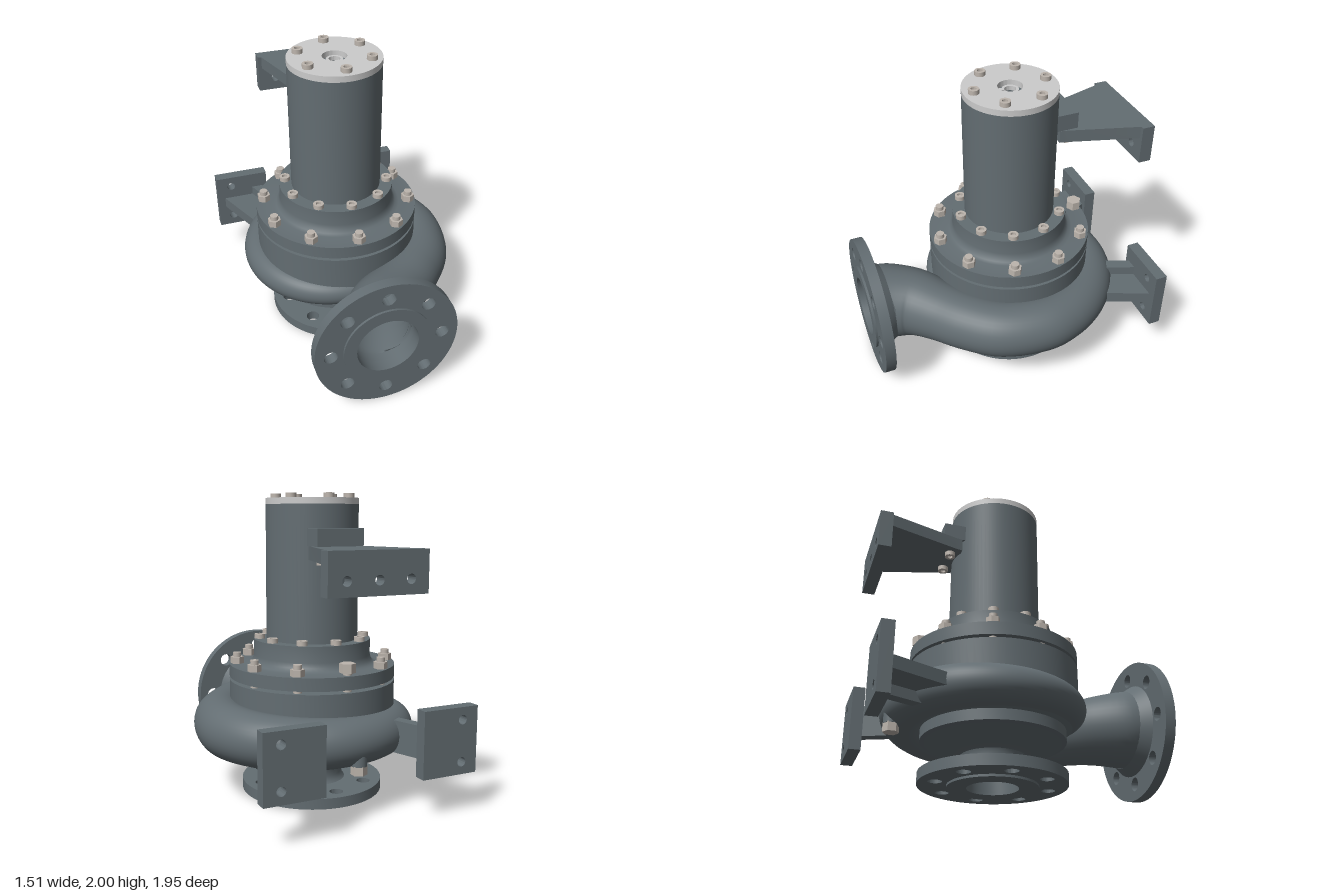
import * as THREE from 'three';
import { toCreasedNormals } from 'three/addons/utils/BufferGeometryUtils.js';
import { ParametricGeometry } from 'three/addons/geometries/ParametricGeometry.js';

const iron = new THREE.MeshStandardMaterial({ color: 0x636d72 });
const ironThin = new THREE.MeshStandardMaterial({ color: 0x636d72, side: THREE.DoubleSide });
const steel = new THREE.MeshStandardMaterial({ color: 0xcccccc });
const zinc = new THREE.MeshStandardMaterial({ color: 0xbdb5ad });
const PORT_Y = 0.48;

function add(parent, name, geometry, material = iron, x = 0, y = 0, z = 0) {
  const mesh = new THREE.Mesh(geometry, material);
  mesh.name = name;
  mesh.position.set(x, y, z);
  parent.add(mesh);
  return mesh;
}

// Turned part; closed profiles run up the outside and down the inside
function turned(profile, segments = 72) {
  const pts = profile.map(([r, y]) => new THREE.Vector2(r, y));
  return toCreasedNormals(new THREE.LatheGeometry(pts, segments), 0.6);
}

function extrude(shape, depth) {
  const geo = new THREE.ExtrudeGeometry(shape, { depth, bevelEnabled: false, curveSegments: 36 });
  return toCreasedNormals(geo, 0.6);
}

function drill(shape, x, y, r) {
  shape.holes.push(new THREE.Path().absarc(x, y, r, 0, Math.PI * 2, true));
}

// Flat plate drawn in x and z, between two heights
function slab(points, y0, y1) {
  const shape = new THREE.Shape(points.map(([x, z]) => new THREE.Vector2(x, -z)));
  return extrude(shape, y1 - y0).rotateX(-Math.PI / 2).translate(0, y0, 0);
}

// Upright rectangular plate with holes, thickness along z
function drilledPlate(x0, x1, y0, y1, depth, holes) {
  const shape = new THREE.Shape([[x0, y0], [x1, y0], [x1, y1], [x0, y1]].map(p => new THREE.Vector2(...p)));
  holes.forEach(([x, y]) => drill(shape, x, y, 0.03));
  return extrude(shape, depth);
}

// Pipe flange with eight holes and a raised face, facing local +z
function pipeFlange(name, bore) {
  const group = new THREE.Group();
  group.name = name;
  const disc = new THREE.Shape().absarc(0, 0, 0.475, 0, Math.PI * 2);
  drill(disc, 0, 0, bore);
  for (let i = 0; i < 8; i++) drill(disc, 0.37 * Math.cos(i * Math.PI / 4), 0.37 * Math.sin(i * Math.PI / 4), 0.045);
  add(group, 'flangePlate', extrude(disc, 0.07));
  const face = new THREE.Shape().absarc(0, 0, 0.29, 0, Math.PI * 2);
  drill(face, 0, 0, bore);
  add(group, 'raisedFace', extrude(face, 0.015), iron, 0, 0, 0.07);
  return group;
}

// Centre line of the spiral and outlet; the y value carries the pipe radius
function volutePath() {
  const pts = [];
  for (let deg = -20; deg <= 270; deg += 14.5) {
    const t = THREE.MathUtils.degToRad(deg), k = deg / 270;
    const r = 0.085 + 0.1 * k, R = 0.58 + 0.215 * k - r;
    pts.push(new THREE.Vector3(-R * Math.sin(t), r, R * Math.cos(t)));
  }
  [[0.55, 0.19, 0.27], [0.4, 0.195, 0.46], [0.24, 0.205, 0.6], [0.08, 0.235, 0.75],
    [0, 0.262, 0.92], [0, 0.265, 0.95]].forEach(p => pts.push(new THREE.Vector3(...p)));
  return new THREE.CatmullRomCurve3(pts);
}

function voluteGeometry(path, scale) {
  const sweep = (u, v, out) => {
    const c = path.getPoint(u), t = path.getTangent(u).setY(0).normalize();
    const a = v * Math.PI * 2, r = c.y * scale;
    out.set(c.x - t.z * r * Math.cos(a), PORT_Y + r * Math.sin(a), c.z + t.x * r * Math.cos(a));
  };
  return new ParametricGeometry(sweep, 140, 40);
}

// Repeat a part around the pump axis, starting at the front
function ring(count, radius, place) {
  for (let i = 0; i < count; i++) {
    const a = i * 2 * Math.PI / count;
    place(radius * Math.sin(a), radius * Math.cos(a), i);
  }
}

export function createModel() {
  const model = new THREE.Group();
  model.name = 'pump';
  const pump = new THREE.Group();
  pump.name = 'pumpAssembly';
  pump.position.set(-0.04, 0, -0.1);
  model.add(pump);

  // Casing, spiral and outlet
  add(pump, 'casing', turned([[0.165, 0.08], [0.23, 0.08], [0.212, 0.1], [0.205, 0.13], [0.205, 0.18], [0.212, 0.2],
    [0.23, 0.212], [0.47, 0.29], [0.47, 0.36], [0.555, 0.42], [0.555, 0.78], [0.037, 0.78], [0.037, 0.72],
    [0.165, 0.6], [0.165, 0.08]]));
  const path = volutePath();
  add(pump, 'volute', voluteGeometry(path, 1), ironThin);
  add(pump, 'voluteBore', voluteGeometry(path, 0.78), ironThin);
  const neck = add(pump, 'outletNeck', turned([[0.205, 0], [0.262, 0], [0.315, 0.075], [0.205, 0.075], [0.205, 0]]),
    iron, 0, PORT_Y, 0.92);
  neck.rotation.x = Math.PI / 2;
  const outlet = pipeFlange('outletFlange', 0.205);
  outlet.position.set(0, PORT_Y, 0.99);
  const inlet = pipeFlange('inletFlange', 0.165);
  inlet.rotation.x = Math.PI / 2;
  inlet.position.y = 0.085;
  pump.add(outlet, inlet);

  // Cover and motor
  add(pump, 'cover', turned([[0.037, 0.775], [0.45, 0.775], [0.45, 0.8], [0.555, 0.8], [0.555, 0.885], [0.44, 0.885],
    [0.415, 0.893], [0.398, 0.912], [0.39, 0.945], [0.39, 1.05], [0.037, 1.05], [0.037, 0.775]]));
  add(pump, 'motorHousing', turned([[0.037, 1.04], [0.305, 1.04], [0.305, 1.93], [0.037, 1.93], [0.037, 1.04]]));
  add(pump, 'motorLid', turned([[0.08, 1.93], [0.305, 1.93], [0.305, 1.97], [0.08, 1.97], [0.08, 1.93]]), steel);
  add(pump, 'shaftEnd', turned([[0.037, 1.92], [0.055, 1.92], [0.055, 1.95], [0.037, 1.95], [0.037, 1.92]], 36), steel);
  add(pump, 'shaftKey', new THREE.BoxGeometry(0.03, 0.03, 0.03), steel, 0, 1.945, 0.06);

  // Fasteners
  const socketHead = turned([[0, 0], [0.035, 0], [0.035, 0.03], [0.018, 0.03], [0.018, 0.014], [0, 0.014]], 20);
  const nut = toCreasedNormals(new THREE.CylinderGeometry(0.045, 0.045, 0.045, 6), 0.5);
  const stud = new THREE.CylinderGeometry(0.027, 0.027, 0.2, 18);
  const plug = toCreasedNormals(new THREE.CylinderGeometry(0.052, 0.052, 0.06, 6), 0.5);
  ring(6, 0.24, (x, z) => add(pump, 'lidBolt', socketHead, zinc, x, 1.97, z));
  ring(10, 0.35, (x, z) => add(pump, 'coverBolt', socketHead, zinc, x, 1.05, z));
  ring(10, 0.503, (x, z, i) => {
    add(pump, 'casingStud', stud, zinc, x, 0.858, z);
    if (i === 5) add(pump, 'ventPlug', plug, zinc, x, 0.93, z);
    else add(pump, 'casingNut', nut, zinc, x, 0.907, z);
  });
  add(pump, 'drainPlug', plug, zinc, 0, 0.325, -0.66);
  add(pump, 'drainBoss', new THREE.CylinderGeometry(0.05, 0.05, 0.1, 24), iron, 0, 0.4, -0.66);

  // Rear mounting feet, mirrored
  for (const s of [-1, 1]) {
    const foot = new THREE.Group();
    foot.name = s > 0 ? 'leftFoot' : 'rightFoot';
    pump.add(foot);
    const side = points => points.map(([x, z]) => [s * x, z]);
    add(foot, 'footPlate', drilledPlate(Math.min(s * 0.33, s * 0.72), Math.max(s * 0.33, s * 0.72), 0.27, 0.7, 0.08,
      [[s * 0.61, 0.62], [s * 0.61, 0.35]]), iron, 0, 0, -0.87);
    add(foot, 'footWeb', slab(side([[0.67, -0.8], [0.49, -0.38], [0.3, -0.5], [0.41, -0.8]]), 0.44, 0.52));
    add(foot, 'footRib', slab(side([[0.45, -0.8], [0.37, -0.8], [0.26, -0.52], [0.34, -0.52]]), 0.375, 0.585));
  }

  // Upper bracket on the motor
  const bracket = new THREE.Group();
  bracket.name = 'motorBracket';
  pump.add(bracket);
  add(bracket, 'bracketPad', new THREE.BoxGeometry(0.32, 0.11, 0.155), iron, 0, 1.725, -0.327);
  add(bracket, 'bracketArm', slab([[-0.16, -0.28], [0.16, -0.28], [0.17, -0.33], [0.33, -0.87], [-0.33, -0.87],
    [-0.17, -0.33]], 1.585, 1.67));
  add(bracket, 'bracketPlate', drilledPlate(-0.33, 0.33, 1.41, 1.67, 0.085, [[-0.21, 1.5], [0, 1.5], [0.21, 1.5]]),
    iron, 0, 0, -0.871);
  for (const x of [-0.1, 0.1]) {
    add(bracket, 'bracketBolt', socketHead, zinc, x, 1.585, -0.35).rotation.x = Math.PI;
  }
  return model;
}
